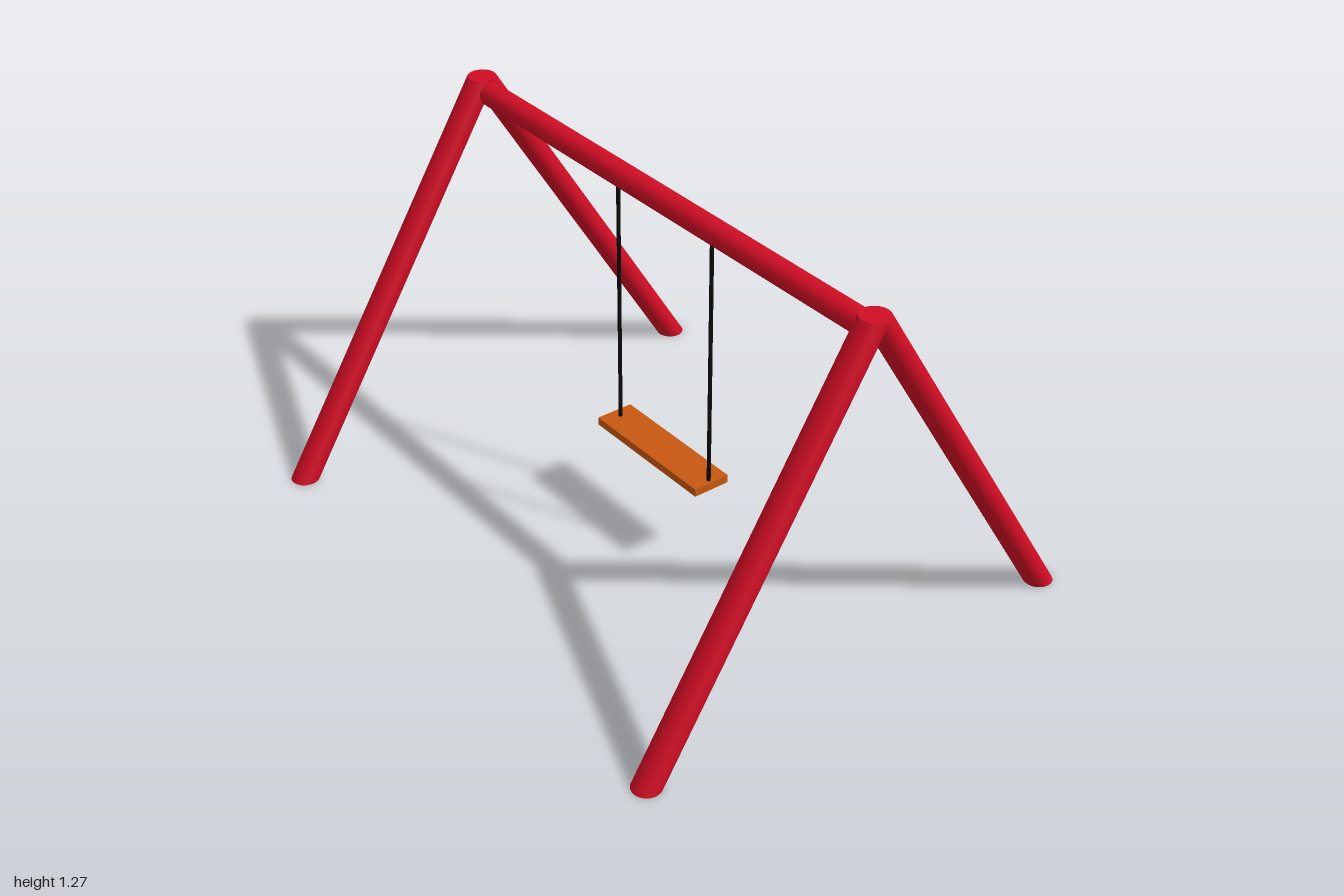
import * as THREE from 'three';

export function createModel() {
  const model = new THREE.Group();
  model.name = 'swingSet';

  const paint = (name, color) => {
    const m = new THREE.MeshStandardMaterial({ color });
    m.name = name;
    return m;
  };
  const red = paint('red paint', 0xd00d24);
  const black = paint('black rope', 0x0b0b0b);
  const orange = paint('orange wood', 0xc8570f);

  const add = (name, geometry, material, x, y, z) => {
    const mesh = new THREE.Mesh(geometry, material);
    mesh.name = name;
    mesh.position.set(x, y, z);
    model.add(mesh);
  };

  const height = 1.268, spread = 0.782, legRadius = 0.0475, frameZ = 0.9525;

  // Splayed legs: upright cylinders sheared sideways so both ends stay level
  const makeLeg = (side) => {
    const k = (-side * spread) / height;
    const shear = new THREE.Matrix4().set(
      1, k, 0, 0,
      0, 1, 0, 0,
      0, 0, 1, 0,
      0, 0, 0, 1);
    return new THREE.CylinderGeometry(legRadius, legRadius, height, 32).applyMatrix4(shear);
  };
  for (const [end, z] of [['front', frameZ], ['back', -frameZ]]) {
    for (const [name, side] of [['Left', 1], ['Right', -1]]) {
      add(`${end}${name}Leg`, makeLeg(side), red, (side * spread) / 2, height / 2, z);
    }
  }

  // Top beam running between the two frames
  const beam = new THREE.CylinderGeometry(0.04, 0.04, frameZ * 2, 32).rotateX(Math.PI / 2);
  add('topBeam', beam, red, 0, 1.22, 0);

  // Ropes from the beam down into the seat
  const ropeBottom = 0.31, ropeTop = 1.2;
  const rope = new THREE.CylinderGeometry(0.0065, 0.0065, ropeTop - ropeBottom, 16);
  add('frontRope', rope, black, 0, (ropeTop + ropeBottom) / 2, 0.25);
  add('backRope', rope, black, 0, (ropeTop + ropeBottom) / 2, -0.21);

  // Seat board
  add('seat', new THREE.BoxGeometry(0.13, 0.027, 0.51), orange, 0, 0.312, 0.01);

  return model;
}
